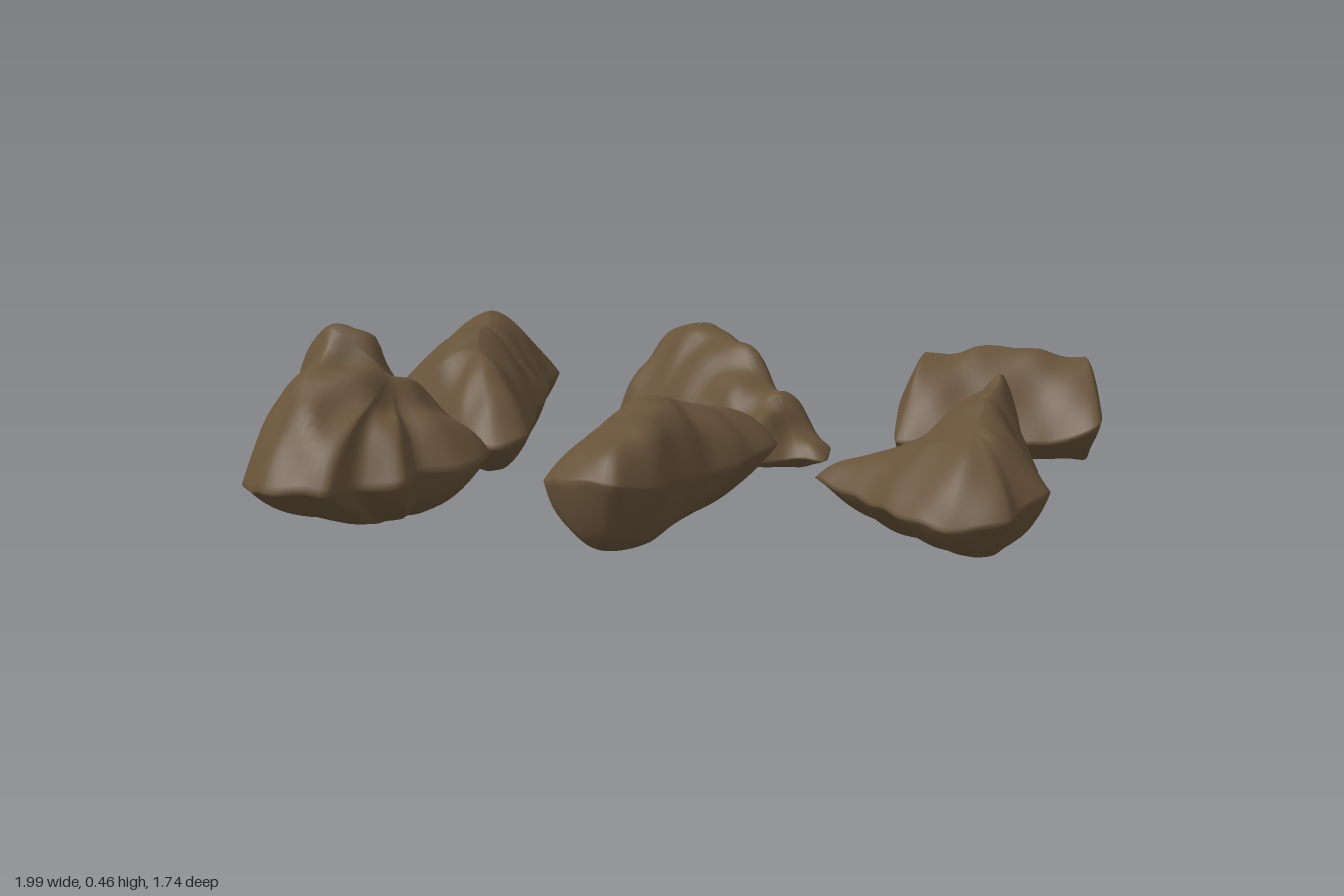
import * as THREE from 'three';
import { mergeVertices } from 'three/addons/utils/BufferGeometryUtils.js';

const SEGMENTS = 108, RINGS = 16;
const V = (p) => new THREE.Vector3(...p);

// Height of the rock's top at (x, z), blended from nearby peaks
function topHeight(peaks, x, z) {
  let sum = 0, total = 0;
  for (const [px, py, pz] of peaks) {
    const w = 1 / ((px - x) ** 2 + (pz - z) ** 2 + 0.0006) ** 2;
    sum += w * py;
    total += w;
  }
  return sum / total;
}

// Weathered surface: broad dents, small bumps and a few sharp creases
function weather(p) {
  const { x, y, z } = p;
  const crease = Math.abs(Math.sin(9 * x + 4 * z + 6 * y + 1.5 * Math.sin(5 * z))) - 0.6;
  p.x += 0.006 * Math.sin(17 * y + 11 * z + 1) + 0.003 * Math.sin(37 * z + 29 * y);
  p.y += 0.006 * Math.sin(15 * x + 2) * Math.cos(13 * z) + 0.008 * crease + 0.003 * Math.sin(41 * x + 33 * z);
  p.z += 0.006 * Math.sin(16 * x + 12 * y + 3) + 0.003 * Math.sin(35 * x + 31 * y);
  return p;
}

// A rock: widest outline, drawn in to a straight spine, rising to the peaks
// above and sinking to the base height below; steep sets how upright the sides are
function rockGeometry({ outline, spine, peaks, base, steep }) {
  const rim = new THREE.CatmullRomCurve3(outline.map(V), true, 'catmullrom', 0.35)
    .getSpacedPoints(SEGMENTS).slice(0, SEGMENTS);
  const line = new THREE.Line3(...spine.map(([x, z]) => new THREE.Vector3(x, 0, z)));
  const positions = [], index = [];
  for (let j = -RINGS; j <= RINGS; j++) {
    const s = (Math.abs(j) / RINGS) ** 1.3;
    const rise = 1 - (1 - s) ** (j > 0 ? steep : 3.2);
    for (const p of rim) {
      const flat = new THREE.Vector3(p.x, 0, p.z);
      const q = flat.clone().lerp(line.closestPointToPoint(flat, true, new THREE.Vector3()), s);
      const goal = j > 0 ? topHeight(peaks, q.x, q.z) : base;
      q.y = THREE.MathUtils.lerp(p.y, goal, rise);
      positions.push(...weather(q).toArray());
    }
  }
  for (let j = 0; j < 2 * RINGS; j++) {
    for (let i = 0; i < SEGMENTS; i++) {
      const n = (i + 1) % SEGMENTS;
      const a = j * SEGMENTS + i, b = j * SEGMENTS + n;
      const c = a + SEGMENTS, d = b + SEGMENTS;
      index.push(a, c, b, b, c, d);
    }
  }
  const geometry = new THREE.BufferGeometry();
  geometry.setAttribute('position', new THREE.Float32BufferAttribute(positions, 3));
  geometry.setIndex(index);
  const merged = mergeVertices(geometry, 1e-4);
  merged.computeVertexNormals();
  return merged;
}

// Tall peaked rock, front
const peakedRock = {
  outline: [[-.92, .2, .29], [-.79, .22, .26], [-.7, .2, .28], [-.5, .17, .29], [-.41, .16, .37],
    [-.42, .15, .5], [-.51, .14, .55], [-.51, .13, .64], [-.61, .12, .66], [-.65, .12, .74],
    [-.8, .12, .73], [-.93, .1, .58], [-.92, .15, .42]],
  spine: [[-.77, .42], [-.62, .43]],
  peaks: [[-.77, .46, .37], [-.71, .45, .37], [-.6, .34, .38], [-.5, .28, .38], [-.55, .28, .5],
    [-.65, .31, .6], [-.78, .35, .64], [-.84, .36, .46], [-.7, .37, .48]],
  base: .02,
  steep: 2.6,
};

// Long wedge with a blunt nose, front
const wedgeRock = {
  outline: [[-.2, .18, .22], [-.13, .18, .15], [0, .17, .13], [.12, .17, .15], [.25, .18, .2],
    [.22, .17, .34], [.16, .17, .52], [.13, .17, .66], [.1, .18, .77], [.02, .2, .86],
    [-.08, .2, .83], [-.16, .17, .72], [-.17, .16, .5], [-.2, .17, .34]],
  spine: [[.02, .28], [0, .72]],
  peaks: [[-.12, .25, .24], [0, .27, .2], [.17, .27, .24], [.13, .29, .4], [.02, .31, .45],
    [.06, .3, .65], [0, .28, .78], [-.08, .28, .72], [-.1, .28, .5]],
  base: .04,
  steep: 2.8,
};

// Pointed, roughly triangular rock, front
const pointedRock = {
  outline: [[.77, .22, .11], [.81, .2, .2], [.84, .19, .35], [.87, .18, .48], [.9, .17, .6],
    [.85, .15, .7], [.82, .14, .77], [.7, .13, .8], [.6, .13, .72], [.48, .14, .58],
    [.38, .15, .48], [.5, .16, .38], [.62, .18, .26], [.72, .21, .14]],
  spine: [[.77, .19], [.74, .6]],
  peaks: [[.77, .36, .18], [.76, .34, .28], [.74, .33, .42], [.8, .3, .58], [.72, .28, .64],
    [.62, .28, .48]],
  base: .05,
  steep: 1.7,
};

// Largest slab, back
const broadRock = {
  outline: [[-.92, .18, -.8], [-.8, .2, -.87], [-.67, .2, -.86], [-.58, .18, -.77], [-.57, .17, -.66],
    [-.51, .16, -.47], [-.5, .15, -.3], [-.45, .12, -.05], [-.5, .1, .03], [-.62, .11, -.02],
    [-.75, .11, -.13], [-.9, .1, -.22], [-.99, .1, -.38], [-.97, .13, -.58]],
  spine: [[-.76, -.72], [-.64, -.25]],
  peaks: [[-.78, .36, -.75], [-.68, .36, -.72], [-.67, .34, -.55], [-.69, .36, -.37],
    [-.6, .31, -.22], [-.58, .31, -.45]],
  base: .01,
  steep: 1.7,
};

// Narrow diagonal rock with steep long sides, back
const diagonalRock = {
  outline: [[-.2, .16, -.86], [-.1, .18, -.75], [.05, .18, -.57], [.17, .15, -.37], [.22, .12, -.3],
    [.31, .1, -.2], [.32, .08, -.09], [.23, .08, -.1], [.1, .08, -.05], [.06, .1, -.14],
    [-.05, .11, -.26], [-.2, .12, -.43], [-.34, .1, -.55], [-.32, .13, -.66], [-.25, .15, -.74]],
  spine: [[-.16, -.65], [.2, -.19]],
  peaks: [[-.2, .33, -.73], [-.07, .36, -.64], [.06, .33, -.45], [.18, .23, -.26], [.26, .13, -.15],
    [.1, .19, -.15], [0, .26, -.3], [-.11, .3, -.42], [-.25, .27, -.56], [-.12, .35, -.57]],
  base: .05,
  steep: 2.8,
};

// Blocky prism with a crosswise ridge, back
const prismRock = {
  outline: [[.52, .15, -.66], [.62, .16, -.7], [.8, .16, -.7], [.89, .15, -.66], [.95, .2, -.5],
    [.98, .22, -.38], [.98, .16, -.24], [.85, .13, -.22], [.65, .12, -.2], [.48, .12, -.2],
    [.48, .2, -.38], [.49, .18, -.55]],
  spine: [[.53, -.41], [.94, -.41]],
  peaks: [[.53, .32, -.41], [.75, .34, -.42], [.94, .32, -.41]],
  base: .06,
  steep: 1.5,
};

export function createModel() {
  const group = new THREE.Group();
  group.name = 'rocks';
  const stone = new THREE.MeshStandardMaterial({ color: 0x67533a });
  stone.name = 'brown stone';
  const rocks = { peakedRock, wedgeRock, pointedRock, broadRock, diagonalRock, prismRock };
  for (const [name, shape] of Object.entries(rocks)) {
    const mesh = new THREE.Mesh(rockGeometry(shape), stone);
    mesh.name = name;
    group.add(mesh);
  }
  // Rest the lowest point on the ground
  group.position.y = -new THREE.Box3().setFromObject(group).min.y;
  return group;
}
